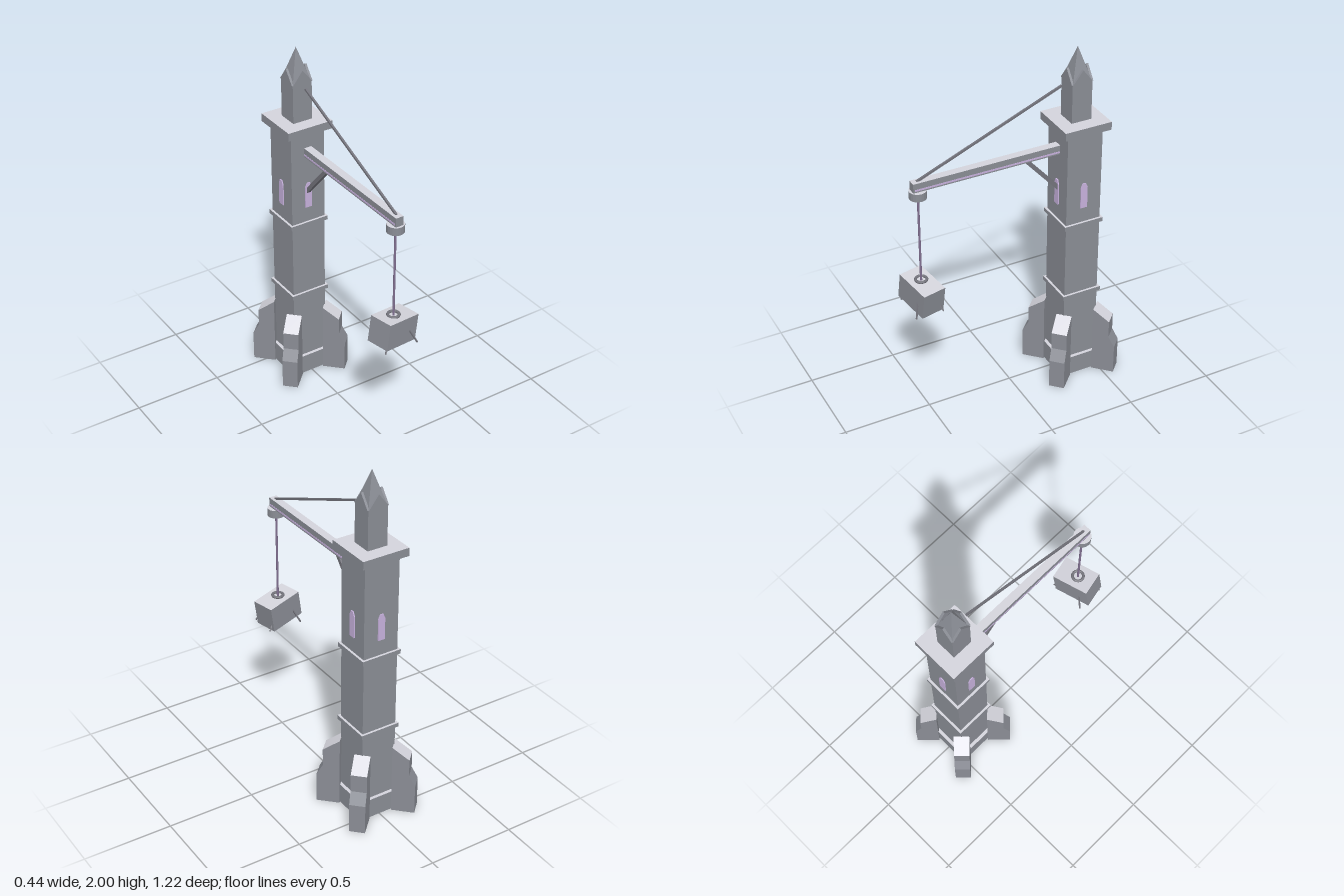
import * as THREE from 'three';

const mat = (name, color) => {
  const m = new THREE.MeshStandardMaterial({ color, flatShading: true });
  m.name = name;
  return m;
};

// Splits a geometry into groups: 0 for sides, 1 for faces that look upward
const splitTops = (source) => {
  const geo = source.index ? source.toNonIndexed() : source;
  geo.clearGroups();
  const pos = geo.attributes.position;
  const tri = new THREE.Triangle(), n = new THREE.Vector3();
  for (let i = 0; i < pos.count; i += 3) {
    tri.setFromAttributeAndIndices(pos, i, i + 1, i + 2);
    geo.addGroup(i, 3, tri.getNormal(n).y > 0.6 ? 1 : 0);
  }
  return geo;
};

export function createModel() {
  const stone = mat('stone', 0x8a8d95);
  const pale = mat('pale top stone', 0xd3d3db);
  const iron = mat('dark iron', 0x73737b);
  const cable = mat('violet cable', 0x806f90);
  const glass = mat('violet glass', 0xc7b1dd);
  const topped = [stone, pale];

  const model = new THREE.Group();
  model.name = 'towerCrane';
  const tower = new THREE.Group();
  tower.name = 'tower';
  tower.position.z = -0.39;
  model.add(tower);

  const add = (parent, name, geo, material, x = 0, y = 0, z = 0) => {
    const m = new THREE.Mesh(Array.isArray(material) ? splitTops(geo) : geo, material);
    m.name = name;
    m.position.set(x, y, z);
    parent.add(m);
    return m;
  };
  // Square block centred on the tower axis, from y0 to y1
  const block = (name, half, y0, y1) =>
    add(tower, name, new THREE.BoxGeometry(half * 2, y1 - y0, half * 2), topped, 0, (y0 + y1) / 2, 0);
  // Straight bar between two points; four sides make a square bar
  const bar = (name, a, b, r, material, sides) => {
    const p = new THREE.Vector3(...a), q = new THREE.Vector3(...b);
    const d = q.clone().sub(p);
    const geo = new THREE.CylinderGeometry(r, r, d.length(), sides);
    if (sides === 4) geo.rotateY(Math.PI / 4);
    const m = add(model, name, geo, material);
    m.position.copy(p).add(q).multiplyScalar(0.5);
    m.quaternion.setFromUnitVectors(new THREE.Vector3(0, 1, 0), d.normalize());
  };
  const extrude = (pts, depth) => new THREE.ExtrudeGeometry(
    new THREE.Shape(pts.map(([x, y]) => new THREE.Vector2(x, y))), { depth, bevelEnabled: false });

  // Tower body
  block('plinth', 0.122, 0, 0.115);
  block('shaft', 0.103, 0, 1.56);
  block('lowerBand', 0.116, 0.524, 0.548);
  block('upperBand', 0.116, 0.979, 1.004);
  block('topSlab', 0.136, 1.548, 1.594);
  block('turret', 0.058, 1.59, 1.815);

  // Spire
  const spire = new THREE.ConeGeometry(0.056 * Math.SQRT2, 0.185, 4);
  spire.rotateY(Math.PI / 4);
  add(tower, 'spire', spire, stone, 0, 1.9075, 0);

  // Diagonal stepped buttresses, gables and pointed windows on four sides
  const buttress = extrude([[0.142, 0], [0.27, 0], [0.27, 0.175], [0.235, 0.24],
    [0.235, 0.343], [0.142, 0.411]], 0.087);
  buttress.translate(0, 0, -0.0435);
  const gable = extrude([[-0.058, 0], [0.058, 0], [0, 0.075]], 0.013);
  const pane = extrude([[-0.02, 0], [0.02, 0], [0.02, 0.125], [0.009, 0.15],
    [-0.009, 0.15], [-0.02, 0.125]], 0.009);
  for (let i = 0; i < 4; i++) {
    const a = (i * Math.PI) / 2;
    add(tower, 'buttress', buttress, topped).rotation.y = a + Math.PI / 4;
    const side = new THREE.Group();
    side.name = 'towerSide';
    side.rotation.y = a;
    tower.add(side);
    add(side, 'gable', gable, stone, 0, 1.815, 0.05);
    add(side, 'window', pane, glass, 0, 1.094, 0.1);
  }

  // Crane arm with its coloured rail
  add(model, 'arm', new THREE.BoxGeometry(0.045, 0.052, 0.86), topped, 0, 1.433, 0.123);
  for (const s of [-1, 1]) {
    add(model, 'armStripe', new THREE.BoxGeometry(0.002, 0.01, 0.83), glass, s * 0.0228, 1.42, 0.13);
  }
  add(model, 'armRail', new THREE.BoxGeometry(0.018, 0.004, 0.74), cable, 0, 1.406, 0.09);
  bar('strut', [0, 1.41, -0.095], [0, 1.185, -0.295], 0.016, iron, 4);
  bar('tieRod', [0, 1.458, 0.525], [0, 1.796, -0.3], 0.008, iron, 4);

  // Pulley and cable
  const cz = 0.52;
  add(model, 'pulley', new THREE.CylinderGeometry(0.047, 0.047, 0.045, 20), topped, 0, 1.385, cz);
  bar('cable', [0, 0.85, cz], [0, 1.37, cz], 0.006, cable, 24);
  const ring = new THREE.TorusGeometry(0.03, 0.008, 8, 24);
  ring.rotateX(Math.PI / 2);
  add(model, 'liftingRing', ring, iron, 0, 0.859, cz);

  // Tilted crate with four splayed pegs
  const crate = add(model, 'crate', new THREE.BoxGeometry(0.214, 0.15, 0.137), topped, 0, 0.778, cz);
  crate.rotation.set(0, 0.214, -0.15, 'YXZ');
  for (const sx of [-1, 1]) {
    for (const sz of [-1, 1]) {
      bar('cratePeg', [sx * 0.063, 0.768, cz + sz * 0.053],
        [sx * 0.1, 0.691, cz + sz * 0.078], 0.005, iron, 4);
    }
  }
  return model;
}
